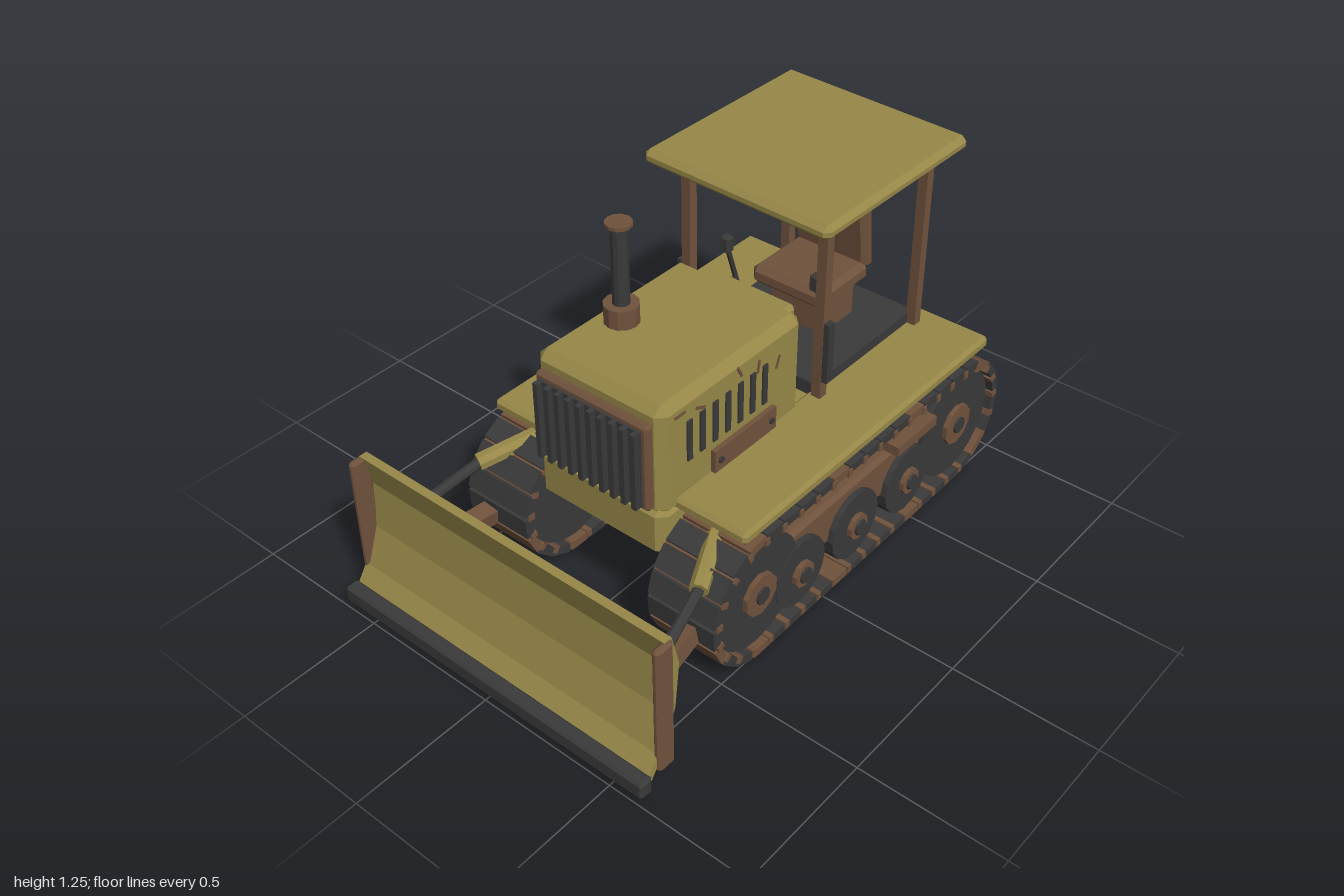
import * as THREE from 'three';
import { ConvexGeometry } from 'three/addons/geometries/ConvexGeometry.js';

const mat = (name, color) => {
  const m = new THREE.MeshStandardMaterial({ color, flatShading: true });
  m.name = name;
  return m;
};

export function createModel() {
  const olive = mat('olive paint', 0x978848);
  const brown = mat('rusty brown', 0x70523d);
  const dark = mat('dark steel', 0x3a3a3a);
  const root = new THREE.Group();
  root.name = 'bulldozer';

  const add = (name, geo, material, x = 0, y = 0, z = 0, parent = root) => {
    const m = new THREE.Mesh(geo, material);
    m.name = name;
    m.position.set(x, y, z);
    parent.add(m);
    return m;
  };

  // Box given by its limits, with optional chamfered edges
  const box = (name, material, [x0, x1], [y0, y1], [z0, z1], c = 0, parent = root) => {
    const h = [(x1 - x0) / 2, (y1 - y0) / 2, (z1 - z0) / 2];
    let geo;
    if (c) {
      const pts = [];
      for (const sx of [-1, 1]) for (const sy of [-1, 1]) for (const sz of [-1, 1]) {
        for (let axis = 0; axis < 3; axis++) {
          const d = h.map((v, i) => (i === axis ? v : v - c));
          pts.push(new THREE.Vector3(sx * d[0], sy * d[1], sz * d[2]));
        }
      }
      geo = new ConvexGeometry(pts);
    } else geo = new THREE.BoxGeometry(h[0] * 2, h[1] * 2, h[2] * 2);
    return add(name, geo, material, (x0 + x1) / 2, (y0 + y1) / 2, (z0 + z1) / 2, parent);
  };

  // Disc or axle lying along z
  const disc = (name, material, r, depth, x, y, z, sides = 16, parent = root) => {
    const m = add(name, new THREE.CylinderGeometry(r, r, depth, sides), material, x, y, z, parent);
    m.rotation.x = Math.PI / 2;
    return m;
  };

  // Bar between two points, round or square in section
  const bar = (name, material, a, b, r, sides = 8) => {
    const p = new THREE.Vector3(...a), q = new THREE.Vector3(...b);
    const geo = new THREE.CylinderGeometry(r, r, p.distanceTo(q), sides);
    if (sides === 4) geo.rotateY(Math.PI / 4);
    const m = add(name, geo, material);
    m.position.copy(p).add(q).multiplyScalar(0.5);
    m.quaternion.setFromUnitVectors(new THREE.Vector3(0, 1, 0), q.sub(p).normalize());
    return m;
  };

  // Chassis, hood and dashboard
  box('chassis', olive, [-0.48, 0.83], [0.34, 0.53], [-0.255, 0.255], 0.03);
  box('hood', olive, [-0.47, 0.195], [0.49, 0.89], [-0.25, 0.25], 0.03);
  box('dashboard', olive, [0.18, 0.265], [0.675, 0.85], [-0.17, 0.17], 0.015);
  for (const z of [-0.1, 0, 0.1]) {
    const g = disc('gauge', dark, 0.032, 0.03, 0.275, 0.79, z, 12);
    g.rotation.set(0, 0, Math.PI / 2);
  }
  box('cabFloor', dark, [0.26, 0.815], [0.52, 0.58], [-0.255, 0.255]);

  // Radiator with vertical bars
  box('radiatorFrame', brown, [-0.5, -0.465], [0.525, 0.84], [-0.22, 0.22], 0.01);
  box('radiatorCore', dark, [-0.508, -0.495], [0.545, 0.82], [-0.2, 0.2]);
  for (let i = 0; i < 10; i++) {
    const z = -0.19 + i * 0.0422;
    box('grilleBar', dark, [-0.53, -0.5], [0.545, 0.82], [z - 0.009, z + 0.009]);
  }

  // Exhaust stack
  add('exhaustBase', new THREE.CylinderGeometry(0.057, 0.057, 0.075, 12), brown, -0.195, 0.918, -0.145);
  add('exhaustPipe', new THREE.CylinderGeometry(0.028, 0.028, 0.28, 12), dark, -0.195, 1.09, -0.145);
  add('exhaustCap', new THREE.CylinderGeometry(0.043, 0.043, 0.012, 12), brown, -0.195, 1.23, -0.145);

  // Seat
  box('seatBase', brown, [0.5, 0.67], [0.57, 0.72], [-0.105, 0.105]);
  box('seatCushion', brown, [0.43, 0.7], [0.715, 0.785], [-0.145, 0.145], 0.02);
  const back = box('seatBack', brown, [0.66, 0.715], [0.755, 1.0], [-0.145, 0.145], 0.018);
  back.rotation.z = 0.11;

  // Canopy, sagging slightly to one side
  const roof = box('canopy', olive, [0.145, 0.895], [1.198, 1.25], [-0.355, 0.355], 0.018);
  roof.rotation.x = 0.024;

  // Blade swept along z from a curved section
  const rear = [[-0.85, 0.548], [-0.82, 0.43], [-0.838, 0.27], [-0.885, 0.14], [-0.95, 0.045]];
  const front = rear.map(([x, y]) => [x - 0.03, y]).reverse();
  const section = new THREE.Shape([...rear, ...front].map(p => new THREE.Vector2(...p)));
  add('blade', new THREE.ExtrudeGeometry(section, { depth: 1.22, bevelEnabled: false }), olive, 0, 0, -0.61);
  box('cuttingEdge', dark, [-1, -0.95], [0.03, 0.09], [-0.622, 0.622], 0.008);

  // Shared track shoe path: straight runs joined by half circles
  const xa = -0.315, xb = 0.765, cy = 0.24, run = xb - xa, r = 0.22;
  const total = 2 * run + 2 * Math.PI * r;
  const onTrack = (s) => {
    s = ((s % total) + total) % total;
    const arc = Math.PI * r;
    if (s < run) return [xa + s, cy - r, 0];
    s -= run;
    if (s < arc) return [xb + r * Math.sin(s / r), cy - r * Math.cos(s / r), s / r];
    s -= arc;
    if (s < run) return [xb - s, cy + r, Math.PI];
    s -= run;
    return [xa - r * Math.sin(s / r), cy + r * Math.cos(s / r), Math.PI + s / r];
  };
  const shoes = 43, pitch = total / shoes;
  const shoeGeo = new THREE.BoxGeometry(pitch * 0.93, 0.03, 0.255);
  const pinGeo = new THREE.BoxGeometry(0.02, 0.026, 0.264);

  for (const s of [1, -1]) {
    const side = (a, b) => (s > 0 ? [a, b] : [-b, -a]);
    const tracks = new THREE.Group();
    tracks.name = s > 0 ? 'leftTrack' : 'rightTrack';
    root.add(tracks);
    const mid = s * 0.3825;

    // Shoes and link pins
    for (let i = 0; i < shoes; i++) {
      const [x, y, a] = onTrack(i * pitch);
      add('trackShoe', shoeGeo, i % 5 === 0 ? brown : dark, x, y, mid, tracks).rotation.z = a;
      const [px, py, pa] = onTrack((i + 0.5) * pitch);
      add('trackPin', pinGeo, brown, px + Math.sin(pa) * -0.008, py + Math.cos(pa) * 0.008, mid, tracks).rotation.z = pa;
    }

    // Large end wheels and road rollers
    for (const x of [xa, xb]) {
      disc('endWheel', dark, 0.2, 0.21, x, cy, mid, 20, tracks);
      disc('endHub', brown, 0.075, 0.02, x, cy, s * 0.494, 10, tracks);
      disc('endBolt', dark, 0.03, 0.02, x, cy, s * 0.502, 8, tracks);
    }
    for (const x of [-0.1, 0.19, 0.485]) {
      disc('roller', dark, 0.125, 0.216, x, 0.17, mid, 16, tracks);
      disc('rollerHub', brown, 0.047, 0.02, x, 0.17, s * 0.497, 10, tracks);
      disc('rollerBolt', dark, 0.028, 0.02, x, 0.17, s * 0.506, 8, tracks);
    }
    box('trackFrame', brown, [-0.2, 0.65], [0.16, 0.33], side(0.29, 0.47), 0.015, tracks);
    box('step', brown, [0.345, 0.565], [0.375, 0.41], side(0.25, 0.533));

    // Fender, canopy posts, grab plates and levers
    box('fender', olive, [-0.41, 0.895], [0.498, 0.543], side(0.228, 0.51), 0.012);
    for (const x of [0.265, 0.8]) box('canopyPost', brown, [x - 0.017, x + 0.017], [0.53, 1.205], side(0.25, 0.285));
    box('grabPlate', dark, [0.25, 0.28], [0.61, 0.83], side(0.285, 0.306));
    bar('lever', dark, [0.45, 0.58, s * 0.18], [0.35, 0.88, s * 0.18], 0.009, 6);
    box('leverKnob', dark, [0.332, 0.367], [0.86, 0.918], side(0.162, 0.198), 0.006);

    // Louvres, access panel and paint scrapes on the hood side
    for (let i = 0; i < 7; i++) {
      const x = -0.35 + i * 0.0585;
      box('louvre', dark, [x - 0.011, x + 0.011], [0.655, 0.8], side(0.248, 0.256));
    }
    box('accessPanel', brown, [-0.25, 0.045], [0.545, 0.625], side(0.245, 0.267));
    for (const x of [-0.225, 0.02]) disc('panelBolt', dark, 0.011, 0.012, x, 0.585, s * 0.268, 8);
    for (const [x, y, a] of [[-0.39, 0.84, 0], [-0.3, 0.815, -0.4], [-0.12, 0.84, -1.1], [-0.03, 0.81, 1.4], [0.065, 0.775, 1.2]]) {
      add('scrape', new THREE.BoxGeometry(0.045, 0.009, 0.006), brown, x, y, s * 0.25).rotation.z = a;
    }

    // Blade end plates, push arms and hydraulic rams
    box('bladeEndPlate', brown, [-0.92, -0.85], [0.07, 0.545], side(0.593, 0.622), 0.01);
    bar('pushArm', brown, [-0.85, 0.193, s * 0.465], [-0.45, 0.218, s * 0.4], 0.042, 4);
    bar('ramRod', dark, [-0.82, 0.32, s * 0.51], [-0.48, 0.42, s * 0.435], 0.018);
    bar('ramCylinder', olive, [-0.55, 0.4, s * 0.452], [-0.2, 0.485, s * 0.29], 0.03);
  }
  return root;
}
